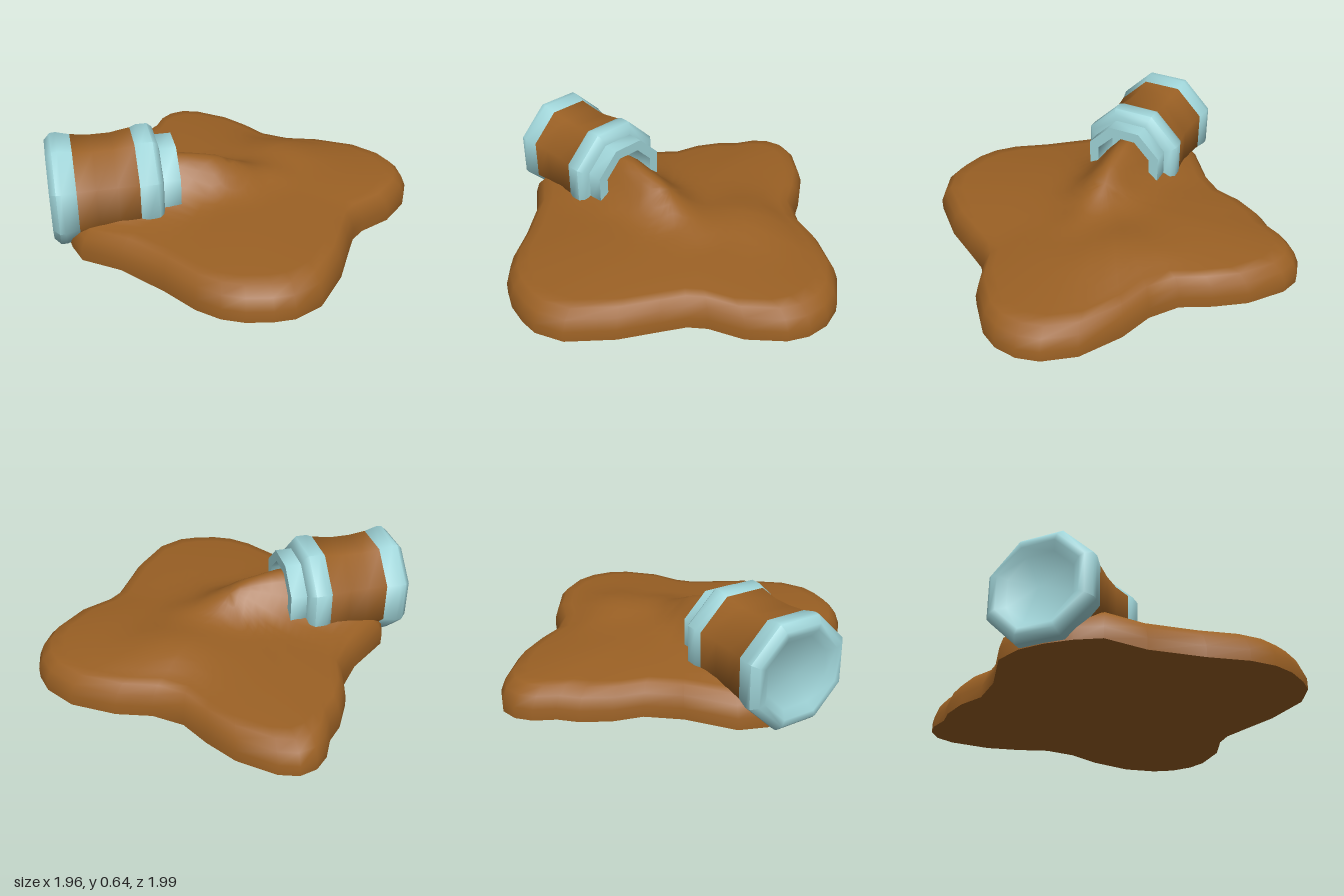
import * as THREE from 'three';
import { toCreasedNormals } from 'three/addons/utils/BufferGeometryUtils.js';

// Footprint of the spill as x, z pairs, clockwise from above
const OUTLINE = [
  -0.97, -0.79, -0.91, -0.88, -0.80, -0.93, -0.55, -0.945, -0.34, -0.90, -0.15, -0.835,
  0.05, -0.855, 0.25, -0.945, 0.53, -1, 0.74, -0.96, 0.86, -0.885, 0.945, -0.77,
  0.98, -0.64, 0.96, -0.4, 0.87, -0.2, 0.855, -0.08, 0.89, 0.08, 0.945, 0.32,
  0.955, 0.62, 0.88, 0.79, 0.79, 0.87, 0.66, 0.95, 0.53, 0.99, 0.37, 0.99,
  0.13, 0.935, -0.2, 0.89, -0.46, 0.92, -0.6, 0.84, -0.72, 0.74, -0.82, 0.62,
  -0.88, 0.46, -0.82, 0.15, -0.83, -0.08, -0.91, -0.24, -0.95, -0.42, -0.945, -0.55,
  -0.98, -0.68,
];
const AXIS = [0.735, -0.678]; // jar direction in x, z, base to mouth
const OFFSET = 0.04; // sideways shift of the jar axis
const RIM = 0.93; // scale at which the rounded edge meets the top

// Height of the poured ridge along the jar axis
function ridge(s) {
  const steps = [[-0.34, 0.24], [-0.08, 0.18], [0.2, 0.05], [0.45, 0]];
  if (s <= steps[0][0]) return steps[0][1];
  for (let i = 1; i < steps.length; i++) {
    const [s0, h0] = steps[i - 1], [s1, h1] = steps[i];
    if (s < s1) return h0 + ((h1 - h0) * (s - s0)) / (s1 - s0);
  }
  return 0;
}

function topHeight(x, z, f) {
  const g = f / RIM;
  const s = x * AXIS[0] + z * AXIS[1];
  const d = -x * AXIS[1] + z * AXIS[0] - OFFSET;
  const fade = Math.min(1, (1 - g) * 5);
  const pour = ridge(s) * Math.exp(-((d / 0.16) ** 2));
  const bump = 0.06 * Math.exp(-((x - 0.12) ** 2 + (z + 0.5) ** 2) / 0.06);
  return 0.19 + 0.06 * (1 - g * g) + fade * (pour + bump);
}

// Spill: scaled rings of the outline, up the rounded edge and in to the centre
function spillGeometry() {
  const n = OUTLINE.length / 2;
  const rings = [[1, 0], [1, 0.07], [0.975, 0.14]];
  const inner = 14;
  for (let k = 0; k < inner; k++) rings.push([RIM * (1 - k / inner), null]);
  const pos = [], index = [];
  for (const [f, y] of rings) {
    for (let i = 0; i < n; i++) {
      const x = OUTLINE[2 * i] * f, z = OUTLINE[2 * i + 1] * f;
      pos.push(x, y === null ? topHeight(x, z, f) : y, z);
    }
  }
  const top = pos.length / 3, bottom = top + 1;
  pos.push(0, topHeight(0, 0, 0), 0, 0, 0, 0);
  const last = (rings.length - 1) * n;
  for (let i = 0; i < n; i++) {
    const k = (i + 1) % n;
    for (let j = 0; j < rings.length - 1; j++) {
      const a = j * n + i, b = j * n + k;
      index.push(a, a + n, b, b, a + n, b + n);
    }
    index.push(last + i, top, last + k, bottom, i, k);
  }
  const g = new THREE.BufferGeometry();
  g.setAttribute('position', new THREE.Float32BufferAttribute(pos, 3));
  g.setIndex(index);
  return toCreasedNormals(g, 1.2);
}

// Eight-sided turned part; profile holds [flat-to-centre radius, position along axis]
function turned(profile, material, name) {
  const pts = profile.map(([r, y]) => new THREE.Vector2(r / Math.cos(Math.PI / 8), y));
  const g = new THREE.LatheGeometry(pts, 8, Math.PI / 8);
  const mesh = new THREE.Mesh(toCreasedNormals(g, 0.9), material);
  mesh.name = name;
  return mesh;
}

export function createModel() {
  const syrup = new THREE.MeshStandardMaterial({ color: 0x9a6024 });
  syrup.name = 'syrupBrown';
  const glass = new THREE.MeshStandardMaterial({ color: 0xa0d5d9 });
  glass.name = 'paleBlueGlass';

  const model = new THREE.Group();
  model.name = 'spilledJar';

  const spill = new THREE.Mesh(spillGeometry(), syrup);
  spill.name = 'spill';
  model.add(spill);

  // Jar lying on its side
  const jar = new THREE.Group();
  jar.name = 'jar';
  jar.rotation.set(-Math.PI / 2, -Math.atan2(AXIS[0], -AXIS[1]), 0, 'YXZ');
  jar.position.set(-AXIS[1] * OFFSET, 0.32, AXIS[0] * OFFSET);
  jar.add(
    // Base with a shallow recess
    turned([[0, -1.075], [0.2, -1.075], [0.245, -1.112], [0.28, -1.112], [0.316, -1.075],
      [0.318, -1.04], [0.298, -0.957]], glass, 'jarBase'),
    // Filled body, slightly waisted
    turned([[0.298, -0.957], [0.286, -0.84], [0.286, -0.72], [0.304, -0.592]], syrup, 'jarBody'),
    // Shoulder, neck, lip and open mouth
    turned([[0.304, -0.592], [0.318, -0.555], [0.318, -0.485], [0.295, -0.455], [0.25, -0.445],
      [0.25, -0.342], [0.185, -0.342], [0.185, -0.55], [0, -0.55]], glass, 'jarNeck'),
  );
  model.add(jar);
  return model;
}
